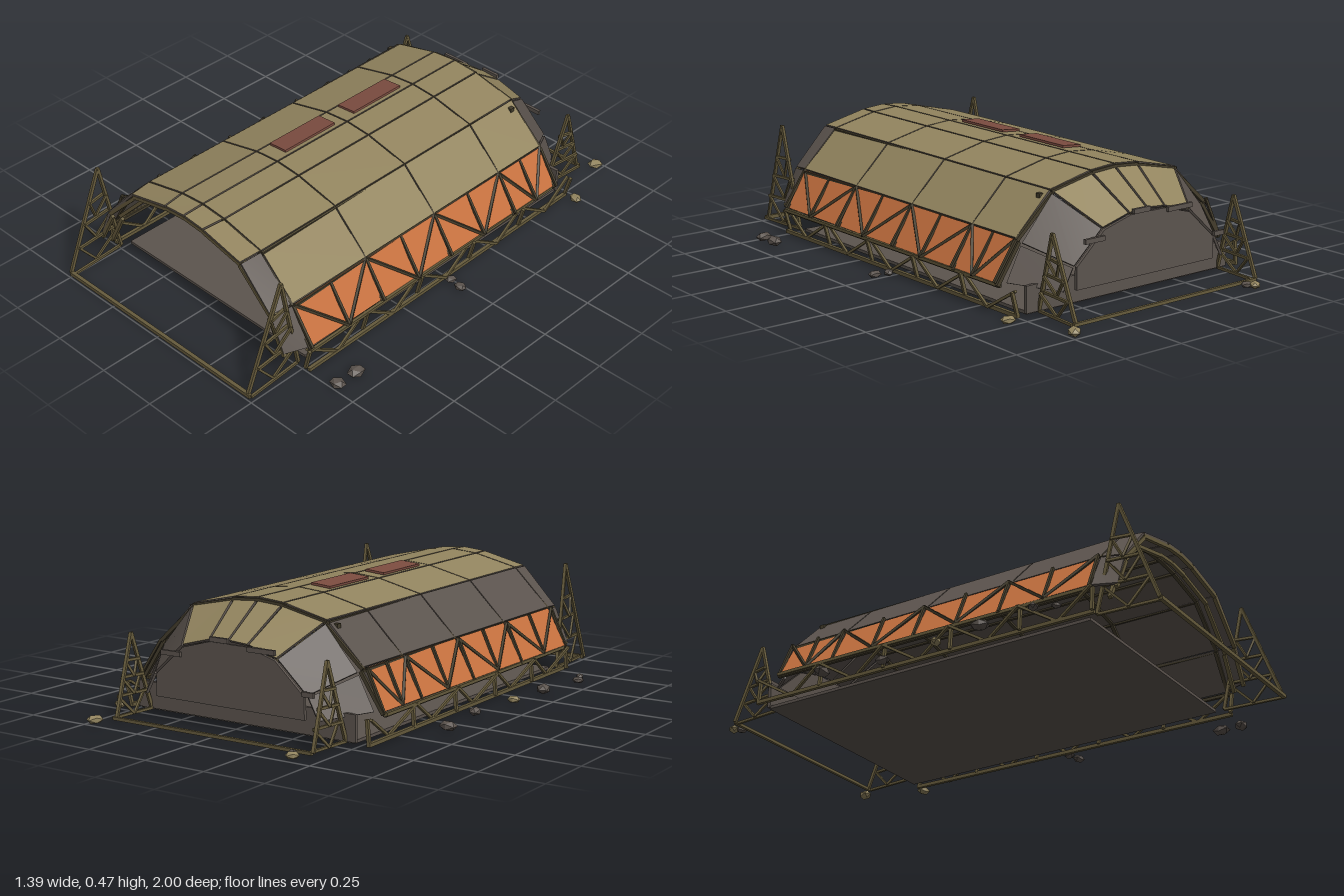
import * as THREE from 'three';

const paint = (name, color) => {
  const m = new THREE.MeshStandardMaterial({ color });
  m.name = name;
  return m;
};
const V = (x, y, z) => new THREE.Vector3(x, y, z);

export function createModel() {
  const tan = paint('tan panel', 0x93855f);
  const grey = paint('dark grey', 0x5c544e);
  const orange = paint('rust orange', 0xc8723f);
  const red = paint('dull red', 0x7c4c40);
  const olive = paint('olive metal', 0x665b3c);
  const dark = paint('dark metal', 0x443d2c);

  const model = new THREE.Group();
  const hangar = new THREE.Group();
  hangar.name = 'hangar';
  hangar.position.x = -0.008;
  model.add(hangar);

  const group = (name) => {
    const g = new THREE.Group();
    g.name = name;
    hangar.add(g);
    return g;
  };
  const box = (name, parent, mat, w, h, d, x, y, z) => {
    const m = new THREE.Mesh(new THREE.BoxGeometry(w, h, d), mat);
    m.position.set(x, y, z);
    m.name = name;
    parent.add(m);
    return m;
  };
  // Square bar between two points
  const bar = (name, parent, mat, a, b, w = 0.012) => {
    const m = box(name, parent, mat, w, w, a.distanceTo(b), 0, 0, 0);
    m.position.copy(a).add(b).multiplyScalar(0.5);
    m.lookAt(b);
    return m;
  };
  // Thin slab over four corners; u runs along the arch, v towards the front
  const panel = (parent, color, p00, p10, p01, p11, inset, thick = 0.01) => {
    const g = new THREE.BoxGeometry(1, 1, 1);
    const pos = g.attributes.position;
    const eu = p10.clone().add(p11).sub(p00).sub(p01).multiplyScalar(0.5);
    const ev = p01.clone().add(p11).sub(p00).sub(p10).multiplyScalar(0.5);
    const n = ev.clone().cross(eu).normalize();
    const iu = 0.5 - inset / eu.length(), iv = 0.5 - inset / ev.length();
    for (let i = 0; i < pos.count; i++) {
      const u = 0.5 + 2 * pos.getX(i) * iu, v = 0.5 + 2 * pos.getZ(i) * iv;
      const p = p00.clone().lerp(p10, u).lerp(p01.clone().lerp(p11, u), v);
      p.addScaledVector(n, (pos.getY(i) - 0.5) * thick);
      pos.setXYZ(i, p.x, p.y, p.z);
    }
    g.computeVertexNormals();
    const m = new THREE.Mesh(g, [grey, grey, color, grey, grey, grey]);
    m.name = 'panel';
    parent.add(m);
  };

  // Half arch profiles from the eave to the ridge, mirrored to a full arch
  const arch = (half, z) => [
    ...half.map(([x, y]) => V(-x, y, z)),
    ...half.slice(0, -1).reverse().map(([x, y]) => V(x, y, z)),
  ];
  const mainHalf = [[0.54, 0.115], [0.455, 0.265], [0.3, 0.417], [0.112, 0.46], [0, 0.469]];
  const frontHalf = [[0.5, 0.115], [0.44, 0.255], [0.292, 0.412], [0.1, 0.457], [0, 0.466]];
  const backInHalf = [[0.51, 0.11], [0.44, 0.245], [0.298, 0.41], [0.11, 0.45], [0, 0.458]];
  const backOutHalf = [[0.385, 0.095], [0.34, 0.18], [0.21, 0.298], [0.085, 0.332], [0, 0.338]];
  const seams = [-0.62, -0.37, 0, 0.37, 0.74];

  // Roof shell, row by row
  const shell = group('roofShell');
  const rows = (a, b, colors, inset) => {
    for (let i = 0; i < 8; i++) panel(shell, colors[i], a[i], a[i + 1], b[i], b[i + 1], inset);
  };
  const mainColors = [orange, grey, tan, tan, tan, tan, tan, orange];
  const endColors = [grey, grey, tan, tan, tan, tan, grey, grey];
  for (let s = 0; s < 4; s++)
    rows(arch(mainHalf, seams[s]), arch(mainHalf, seams[s + 1]), mainColors, 0.003);
  rows(arch(mainHalf, 0.74), arch(frontHalf, 0.835), endColors, 0.004);
  rows(arch(backOutHalf, -0.8), arch(backInHalf, -0.625), endColors, 0.005);

  // Arch ribs under the seams and purlins under the rows
  const ribs = group('ribs');
  const lower = (half, d) => half.map(([x, y]) => [x * (1 - d * 1.2), y - d]);
  const rib = (half, z, mat) => {
    const p = arch(lower(half, 0.011), z);
    for (let i = 0; i < 8; i++) bar('rib', ribs, mat, p[i], p[i + 1], 0.014);
  };
  seams.forEach((z) => rib(mainHalf, z, dark));
  rib(lower(frontHalf, 0.004), 0.825, olive);
  rib(lower(frontHalf, 0.028), 0.79, olive);
  const pa = arch(lower(mainHalf, 0.01), -0.62), pb = arch(lower(mainHalf, 0.01), 0.74);
  pa.forEach((p, i) => bar('purlin', ribs, dark, p, pb[i], 0.012));

  // Rear wall, base wall and floor
  const body = group('floorAndWalls');
  const outline = [[-0.33, 0.095], [0.33, 0.095], [0.33, 0.178], [0.205, 0.292], [0.083, 0.326],
    [-0.083, 0.326], [-0.205, 0.292], [-0.33, 0.178]].map(([x, y]) => new THREE.Vector2(x, y));
  const wall = new THREE.Mesh(
    new THREE.ExtrudeGeometry(new THREE.Shape(outline), { depth: 0.012, bevelEnabled: false }), grey);
  wall.position.z = -0.802;
  wall.name = 'rearWall';
  body.add(wall);
  box('baseWall', body, grey, 0.97, 0.1, 0.014, 0, 0.07, -0.71);
  box('floor', body, grey, 0.96, 0.012, 1.42, 0, 0.021, 0);
  for (const [x, z] of [[-0.36, 0.39], [0.02, 0.48]]) {
    const patch = new THREE.Mesh(new THREE.CylinderGeometry(0.045, 0.045, 0.004, 7), tan);
    patch.position.set(x, 0.029, z);
    patch.name = 'floorPatch';
    body.add(patch);
  }
  // Short tabs along the rear roof edge
  for (const [x, y, w] of [[-0.35, 0.19, 0.05], [-0.15, 0.32, 0.12], [0.035, 0.338, 0.08], [0.255, 0.265, 0.09]])
    box('rearTab', body, grey, w, 0.018, 0.012, x, y, -0.806);

  // Red roof hatches and small vents
  const details = group('roofDetails');
  for (const z of [-0.185, 0.18]) {
    const hatch = box('hatch', details, red, 0.085, 0.009, 0.26, -0.06, 0.471, z);
    hatch.rotation.z = 0.08;
  }
  for (const s of [-1, 1]) box('vent', details, dark, 0.02, 0.02, 0.02, s * 0.322, 0.392, -0.59);

  for (const s of [-1, 1]) {
    // Bracing over the orange skirt panels
    const skirt = group('skirtBracing');
    const eave = (z) => V(s * 0.546, 0.118, z), upper = (z) => V(s * 0.461, 0.264, z);
    for (let i = 0; i < 4; i++) {
      const a = seams[i], b = seams[i + 1], m = (a + b) / 2;
      bar('brace', skirt, dark, upper(a), eave(m), 0.01);
      bar('brace', skirt, dark, upper(b), eave(m), 0.01);
      bar('brace', skirt, dark, upper(m), eave(m), 0.01);
    }
    seams.forEach((z) => bar('brace', skirt, dark, upper(z), eave(z), 0.01));

    // Low lattice carrying the eave
    const lattice = group('sideLattice');
    const lo = (z) => V(s * 0.532, 0.02, z), hi = (z) => V(s * 0.54, 0.11, z);
    bar('rail', lattice, olive, lo(-0.72), lo(0.75), 0.014);
    bar('rail', lattice, olive, hi(-0.62), hi(0.745), 0.012);
    const step = 0.293;
    for (let i = 0; i <= 5; i++) {
      const z = -0.715 + i * step;
      bar('post', lattice, olive, lo(z), hi(z));
      if (i > 0) bar('diagonal', lattice, olive, hi(z), lo(z - step / 2), 0.01);
      if (i < 5) bar('diagonal', lattice, olive, hi(z), lo(z + step / 2), 0.01);
    }

    // Flat triangular towers with rungs and zigzag bracing
    const tower = (name, x, apexY, apexZ, z0, z1) => {
      const t = group(name);
      const apex = V(s * x, apexY, apexZ);
      const a = V(s * x, 0.02, z0), b = V(s * x, 0.02, z1);
      bar('leg', t, olive, a, apex, 0.012);
      bar('leg', t, olive, b, apex, 0.012);
      const f = [0, 0.25, 0.47, 0.67];
      f.forEach((k, i) => {
        const l = a.clone().lerp(apex, k), r = b.clone().lerp(apex, k);
        bar('rung', t, olive, l, r, 0.01);
        if (i === 3) return;
        const mid = l.clone().add(r).multiplyScalar(0.5);
        bar('diagonal', t, olive, mid, a.clone().lerp(apex, f[i + 1]), 0.009);
        bar('diagonal', t, olive, mid, b.clone().lerp(apex, f[i + 1]), 0.009);
      });
    };
    tower('frontTower', 0.489, 0.435, 0.835, 0.745, 0.99);
    tower('rearTower', 0.436, 0.32, -0.805, -0.715, -0.912);
  }

  // Ground bars joining each pair of towers
  const ground = group('groundFrame');
  bar('frontBar', ground, olive, V(-0.495, 0.02, 0.99), V(0.495, 0.02, 0.99), 0.015);
  bar('rearBar', ground, olive, V(-0.442, 0.02, -0.914), V(0.442, 0.02, -0.914), 0.012);

  // Scattered stones: x, z, radius, tan or grey
  const stones = new THREE.Group();
  stones.name = 'stones';
  model.add(stones);
  [[-0.64, -0.34, 0.033, 0], [-0.605, -0.09, 0.028, 0], [-0.63, 0.16, 0.025, 1], [-0.65, 0.36, 0.034, 0],
    [-0.68, 0.595, 0.023, 0], [-0.65, 0.67, 0.018, 0], [-0.4, -0.96, 0.025, 1], [-0.383, -0.935, 0.022, 0],
    [0.475, -0.968, 0.03, 1], [0.565, -0.725, 0.027, 1], [0.55, 0.01, 0.022, 0], [0.605, 0.02, 0.025, 0],
    [0.66, 0.64, 0.034, 0], [0.655, 0.728, 0.031, 0]].forEach(([x, z, r, t], i) => {
    const stone = new THREE.Mesh(new THREE.IcosahedronGeometry(r, 0), t ? tan : grey);
    stone.scale.set(1.1, 0.6, 0.85);
    stone.rotation.y = i * 1.7;
    stone.position.set(x, r * 0.52 + 0.005, z);
    stone.name = 'stone';
    stones.add(stone);
  });

  return model;
}
